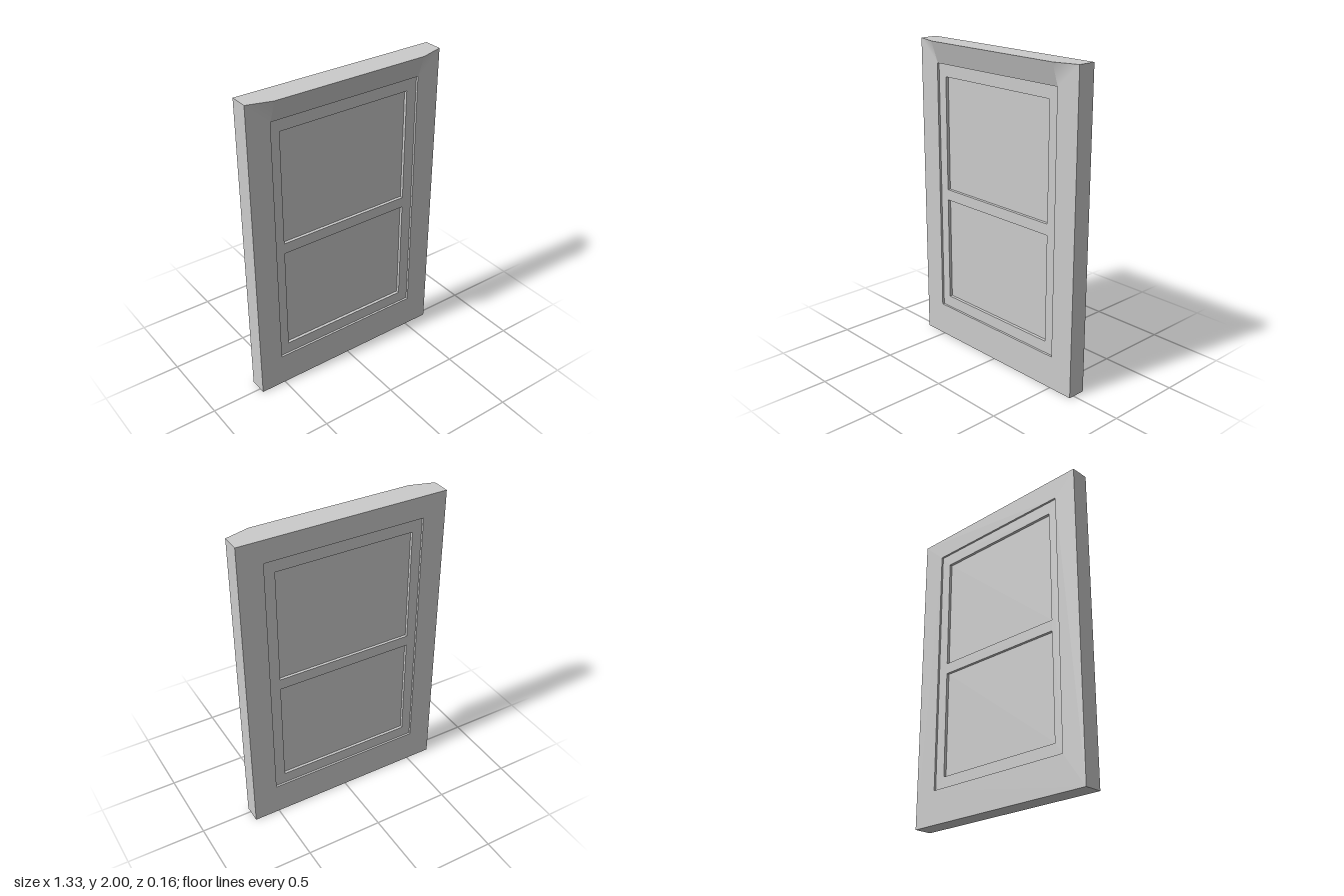
import * as THREE from 'three';

const material = new THREE.MeshStandardMaterial({ color: 0xcccccc, side: THREE.DoubleSide });

// Rectangle outline, usable as a shape or as a hole
function rect(Type, x0, x1, y0, y1) {
  const p = new Type();
  p.moveTo(x0, y0);
  p.lineTo(x1, y0);
  p.lineTo(x1, y1);
  p.lineTo(x0, y1);
  p.closePath();
  return p;
}

// Flat board between two depths, pierced by rectangular openings
function board(name, outline, openings, zBack, zFront) {
  const shape = rect(THREE.Shape, ...outline);
  shape.holes = openings.map((o) => rect(THREE.Path, ...o));
  const geometry = new THREE.ExtrudeGeometry(shape, { depth: zFront - zBack, bevelEnabled: false });
  geometry.translate(0, 0, zBack);
  const mesh = new THREE.Mesh(geometry, material);
  mesh.name = name;
  return mesh;
}

// Sloping header that swells out of the wall above the window
function header(wallX, innerX, yLow, yTop, zWall, zOut) {
  const corners = [
    [-wallX, yTop, zWall], [-innerX, yLow, zWall], [innerX, yLow, zWall],
    [wallX, yTop, zWall], [innerX, yTop, zOut], [-innerX, yTop, zOut],
  ];
  const faces = [
    [0, 1, 5], [2, 3, 4], // tapered ends
    [1, 2, 4], [1, 4, 5], // sloping middle
    [0, 5, 4], [0, 4, 3], // top
  ];
  const geometry = new THREE.BufferGeometry();
  const positions = faces.flat().flatMap((i) => corners[i]);
  geometry.setAttribute('position', new THREE.Float32BufferAttribute(positions, 3));
  geometry.computeVertexNormals();
  // Blend the ends smoothly into the wall where they touch it
  for (const i of [0, 1, 3, 4]) geometry.attributes.normal.setXYZ(i, 0, 0, 1);
  const mesh = new THREE.Mesh(geometry, material);
  mesh.name = 'header';
  return mesh;
}

export function createModel() {
  const group = new THREE.Group();
  group.name = 'windowWall';
  const wallFront = 0.035;
  const opening = [-0.515, 0.51, 0.215, 1.86];

  // Wall slab with the window opening
  group.add(board('wall', [-0.667, 0.667, 0, 2], [opening], -0.082, wallFront));
  group.add(header(0.667, 0.512, 1.862, 2, wallFront, 0.08));

  // Window frame with two lights, set back a little on both faces
  const lights = [[-0.452, 0.44, 0.29, 0.975], [-0.452, 0.44, 1.045, 1.78]];
  group.add(board('windowFrame', opening, lights, -0.069, 0.021));

  // Panes set back inside the frame
  for (const [i, light] of lights.entries()) {
    group.add(board(i ? 'upperPane' : 'lowerPane', light, [], -0.051, 0.001));
  }
  return group;
}
